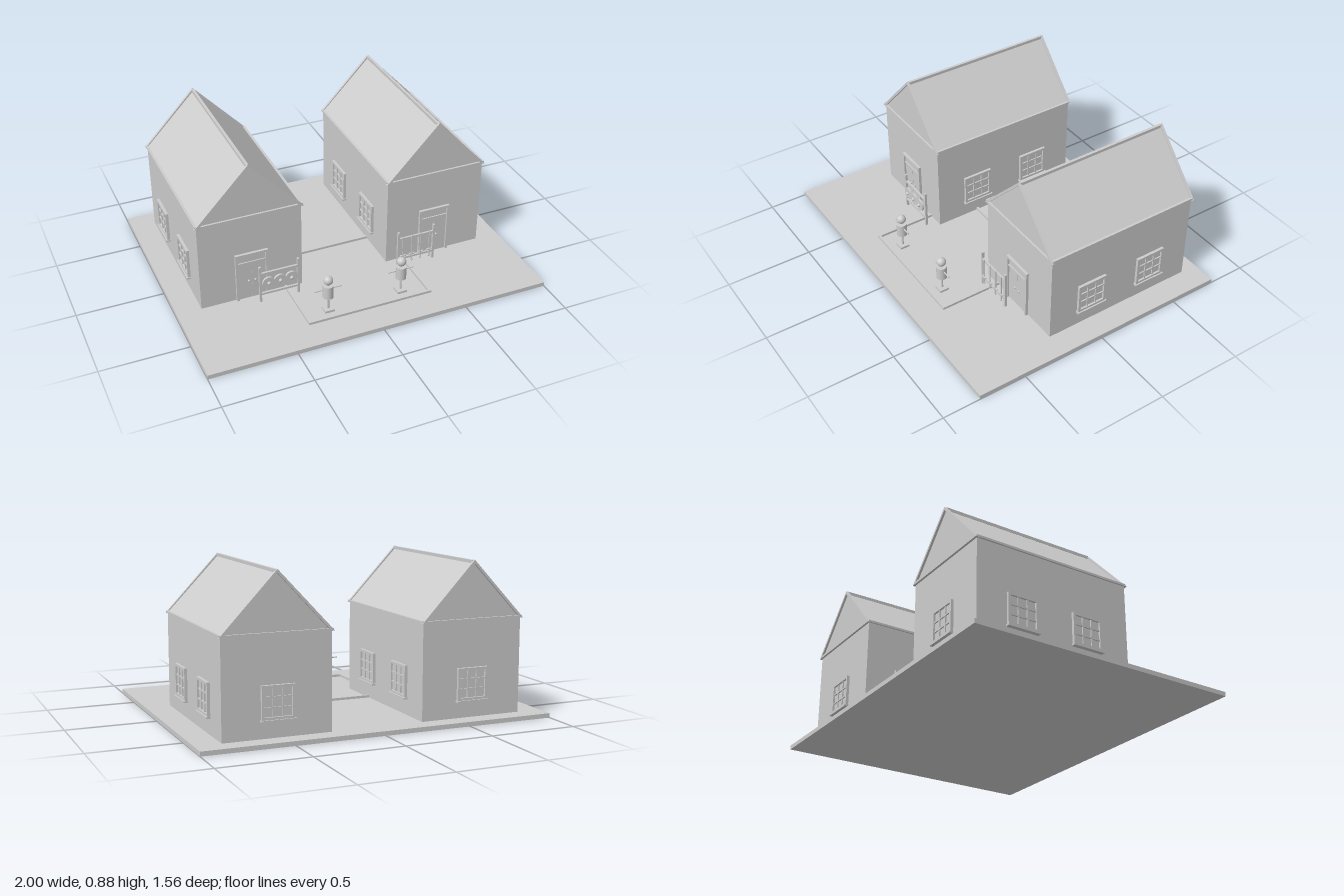
import * as THREE from 'three';

const stone = new THREE.MeshStandardMaterial({ color: 0xcccccc });
stone.name = 'plain grey';

function add(parent, name, geo, x = 0, y = 0, z = 0) {
  const m = new THREE.Mesh(geo, stone);
  m.name = name;
  m.position.set(x, y, z);
  parent.add(m);
  return m;
}
// box given by its limits on each axis
function box(parent, name, x0, x1, y0, y1, z0, z1) {
  return add(parent, name, new THREE.BoxGeometry(x1 - x0, y1 - y0, z1 - z0),
    (x0 + x1) / 2, (y0 + y1) / 2, (z0 + z1) / 2);
}
function group(parent, name, x = 0, y = 0, z = 0) {
  const g = new THREE.Group();
  g.name = name;
  g.position.set(x, y, z);
  parent.add(g);
  return g;
}
// triangle outline with base at y0, apex at y1
function triangle(half, y0, y1, Type = THREE.Shape) {
  const s = new Type();
  s.moveTo(-half, y0);
  s.lineTo(half, y0);
  s.lineTo(0, y1);
  s.closePath();
  return s;
}
const extrude = (shape, depth) => new THREE.ExtrudeGeometry(shape, { depth, bevelEnabled: false });

// nine-pane window facing +z, origin at the wall
function makeWindow(parent) {
  const w = group(parent, 'window');
  const h = 0.09;
  box(w, 'panes', -h, h, 0.125, 0.3, 0, 0.005);
  for (const s of [-1, 1]) {
    box(w, 'frameSide', s * 0.083 - 0.007, s * 0.083 + 0.007, 0.122, 0.3, 0, 0.016);
    box(w, 'verticalBar', s * 0.027 - 0.004, s * 0.027 + 0.004, 0.13, 0.29, 0, 0.012);
    const y = 0.211 + s * 0.027;
    box(w, 'crossBar', -0.08, 0.08, y - 0.004, y + 0.004, 0, 0.012);
  }
  box(w, 'frameTop', -h, h, 0.286, 0.3, 0, 0.016);
  box(w, 'frameBottom', -h, h, 0.122, 0.136, 0, 0.016);
  box(w, 'sill', -0.095, 0.095, 0.113, 0.123, 0, 0.024);
  return w;
}

// door with transom, facing +z
function makeDoor(parent) {
  const d = group(parent, 'door', 0, 0, 0.245);
  box(d, 'doorLeaf', -0.085, 0.085, 0.025, 0.315, 0, 0.005);
  for (const s of [-1, 1]) {
    box(d, 'doorJamb', s * 0.088 - 0.007, s * 0.088 + 0.007, 0.025, 0.325, 0, 0.016);
    add(d, 'doorKnob', new THREE.SphereGeometry(0.007, 10, 8), s * 0.019, 0.14, 0.009);
  }
  box(d, 'doorHead', -0.095, 0.095, 0.311, 0.325, 0, 0.016);
  box(d, 'transomBar', -0.085, 0.085, 0.258, 0.268, 0, 0.012);
  box(d, 'doorSplit', -0.001, 0.001, 0.025, 0.258, 0, 0.006);
}

function makeHouse(parent, name, x) {
  const house = group(parent, name, x);
  box(house, 'walls', -0.298, 0.298, 0.025, 0.558, -0.68, 0.245);
  add(house, 'roof', extrude(triangle(0.298, 0.557, 0.866), 0.925), 0, 0, -0.68);

  // trim around each gable
  for (const z of [-0.692, 0.24]) {
    const frame = triangle(0.31, 0.553, 0.88);
    frame.holes.push(triangle(0.278, 0.566, 0.86, THREE.Path));
    add(house, 'gableTrim', extrude(frame, 0.016), 0, 0, z);
  }
  box(house, 'ridge', -0.008, 0.008, 0.86, 0.877, -0.68, 0.245);
  for (const s of [-1, 1]) {
    box(house, 'eave', s * 0.3 - 0.007, s * 0.3 + 0.007, 0.554, 0.566, -0.685, 0.25);
    for (const z of [-0.02, -0.415]) {
      const w = makeWindow(house);
      w.position.set(s * 0.298, 0, z);
      w.rotation.y = s * Math.PI / 2;
    }
  }
  const back = makeWindow(house);
  back.position.z = -0.68;
  back.rotation.y = Math.PI;
  makeDoor(house);
}

// two posts with two rails
function makeRack(parent, name, x) {
  const r = group(parent, name, x, 0, 0.31);
  for (const s of [-1, 1])
    box(r, 'rackPost', s * 0.112 - 0.006, s * 0.112 + 0.006, 0.025, 0.255, -0.007, 0.007);
  for (const y of [0.075, 0.208])
    box(r, 'rackRail', -0.118, 0.118, y - 0.006, y + 0.006, -0.006, 0.006);
  return r;
}

function makeDummy(parent, x) {
  const d = group(parent, 'trainingDummy', x, 0, 0.525);
  box(d, 'dummyBase', -0.028, 0.028, 0.025, 0.038, -0.028, 0.028);
  add(d, 'dummyPost', new THREE.CylinderGeometry(0.006, 0.006, 0.18, 12), 0, 0.12, 0);
  add(d, 'dummyBody', new THREE.CylinderGeometry(0.03, 0.03, 0.077, 20), 0, 0.153, 0);
  add(d, 'dummyHead', new THREE.SphereGeometry(0.027, 20, 14), 0, 0.224, 0);
  add(d, 'dummyArms', new THREE.CylinderGeometry(0.004, 0.004, 0.158, 10), 0, 0.168, 0).rotation.z = Math.PI / 2;
}

export function createModel() {
  const model = new THREE.Group();
  model.name = 'trainingYard';
  box(model, 'ground', -1, 1, 0, 0.025, -0.78, 0.78);
  makeHouse(model, 'rightHouse', -0.56);
  makeHouse(model, 'leftHouse', 0.56);

  // low kerb around the yard
  for (const s of [-1, 1])
    box(model, 'yardKerbSide', s * 0.362 - 0.007, s * 0.362 + 0.007, 0.025, 0.039, 0.24, 0.61);
  box(model, 'yardKerbFront', -0.369, 0.369, 0.025, 0.039, 0.596, 0.61);
  box(model, 'yardKerbBack', -0.265, 0.265, 0.025, 0.039, -0.027, -0.013);

  // rack with round shields
  const shields = makeRack(model, 'shieldRack', -0.423);
  for (const x of [-0.067, 0, 0.067]) {
    add(shields, 'shield', new THREE.CylinderGeometry(0.037, 0.037, 0.012, 24), x, 0.15, 0.013).rotation.x = Math.PI / 2;
    add(shields, 'shieldBoss', new THREE.SphereGeometry(0.011, 12, 8), x, 0.15, 0.021);
  }

  // rack with upright swords
  const swords = makeRack(model, 'swordRack', 0.418);
  for (const x of [-0.084, -0.028, 0.028, 0.084]) {
    box(swords, 'blade', x - 0.004, x + 0.004, 0.09, 0.222, 0.006, 0.011);
    box(swords, 'swordGuard', x - 0.017, x + 0.017, 0.092, 0.099, 0.004, 0.014);
    add(swords, 'swordGrip', new THREE.CylinderGeometry(0.004, 0.004, 0.04, 8), x, 0.073, 0.009);
    add(swords, 'swordPommel', new THREE.SphereGeometry(0.006, 10, 8), x, 0.053, 0.009);
  }

  makeDummy(model, -0.222);
  makeDummy(model, 0.218);
  return model;
}
